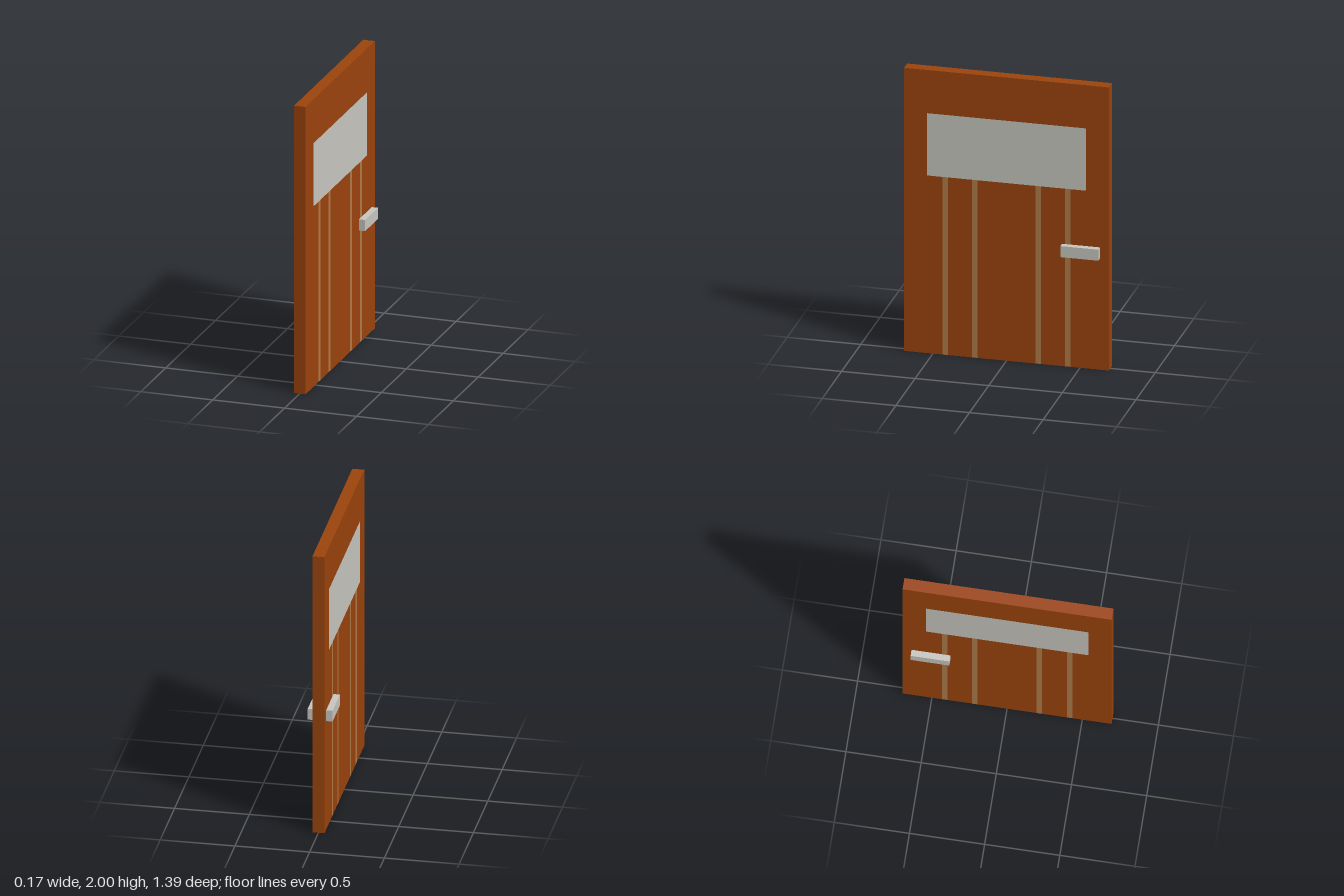
import * as THREE from 'three';

const H = 2, HALF_W = 0.695, HALF_T = 0.04;
const PANE_LOW = 1.255, PANE_HIGH = 1.695, PANE_HALF = 0.54;

export function createModel() {
  const door = new THREE.Group();
  door.name = 'door';

  const mat = (name, color) =>
    new THREE.MeshStandardMaterial({ name, color, side: THREE.DoubleSide });
  const wood = mat('brown wood', 0x9c440c);
  const groove = mat('tan groove', 0xb07c4a);
  const pale = mat('pale grey', 0xc9c8c1);

  // Flat rectangle in the local xy plane, from (x0, y0) to (x1, y1)
  const rect = (parent, name, material, x0, x1, y0, y1) => {
    const mesh = new THREE.Mesh(new THREE.PlaneGeometry(x1 - x0, y1 - y0), material);
    mesh.position.set((x0 + x1) / 2, (y0 + y1) / 2, 0);
    mesh.name = name;
    parent.add(mesh);
  };

  // Broad faces: planks and grooves below, window pane above, all flush
  const breaks = [-HALF_W, -0.434, -0.397, -0.233, -0.196, 0.196, 0.233, 0.397, 0.434, HALF_W];
  for (const side of [1, -1]) {
    const face = new THREE.Group();
    face.name = side > 0 ? 'leftFace' : 'rightFace';
    face.rotation.y = side * Math.PI / 2;
    face.position.x = side * HALF_T;
    for (let i = 0; i < breaks.length - 1; i++) {
      const isGroove = i % 2 === 1;
      rect(face, isGroove ? 'groove' : 'plank', isGroove ? groove : wood,
        breaks[i], breaks[i + 1], 0, PANE_LOW);
    }
    rect(face, 'windowStile', wood, -HALF_W, -PANE_HALF, PANE_LOW, PANE_HIGH);
    rect(face, 'windowPane', pale, -PANE_HALF, PANE_HALF, PANE_LOW, PANE_HIGH);
    rect(face, 'windowStile', wood, PANE_HALF, HALF_W, PANE_LOW, PANE_HIGH);
    rect(face, 'topRail', wood, -HALF_W, HALF_W, PANE_HIGH, H);
    door.add(face);
  }

  // Narrow edges; the underside is left open
  for (const end of [1, -1]) {
    const edge = new THREE.Group();
    edge.name = end > 0 ? 'frontEdge' : 'backEdge';
    edge.position.z = end * HALF_W;
    edge.rotation.y = end > 0 ? 0 : Math.PI;
    rect(edge, 'edgePanel', wood, -HALF_T, HALF_T, 0, H);
    door.add(edge);
  }
  const top = new THREE.Group();
  top.name = 'topEdge';
  top.position.y = H;
  top.rotation.x = -Math.PI / 2;
  rect(top, 'topPanel', wood, -HALF_T, HALF_T, -HALF_W, HALF_W);
  door.add(top);

  // Handle bar passing through both faces
  const handle = new THREE.Mesh(new THREE.BoxGeometry(0.166, 0.078, 0.258), pale);
  handle.name = 'handle';
  handle.position.set(0, 0.825, -0.506);
  door.add(handle);

  return door;
}
